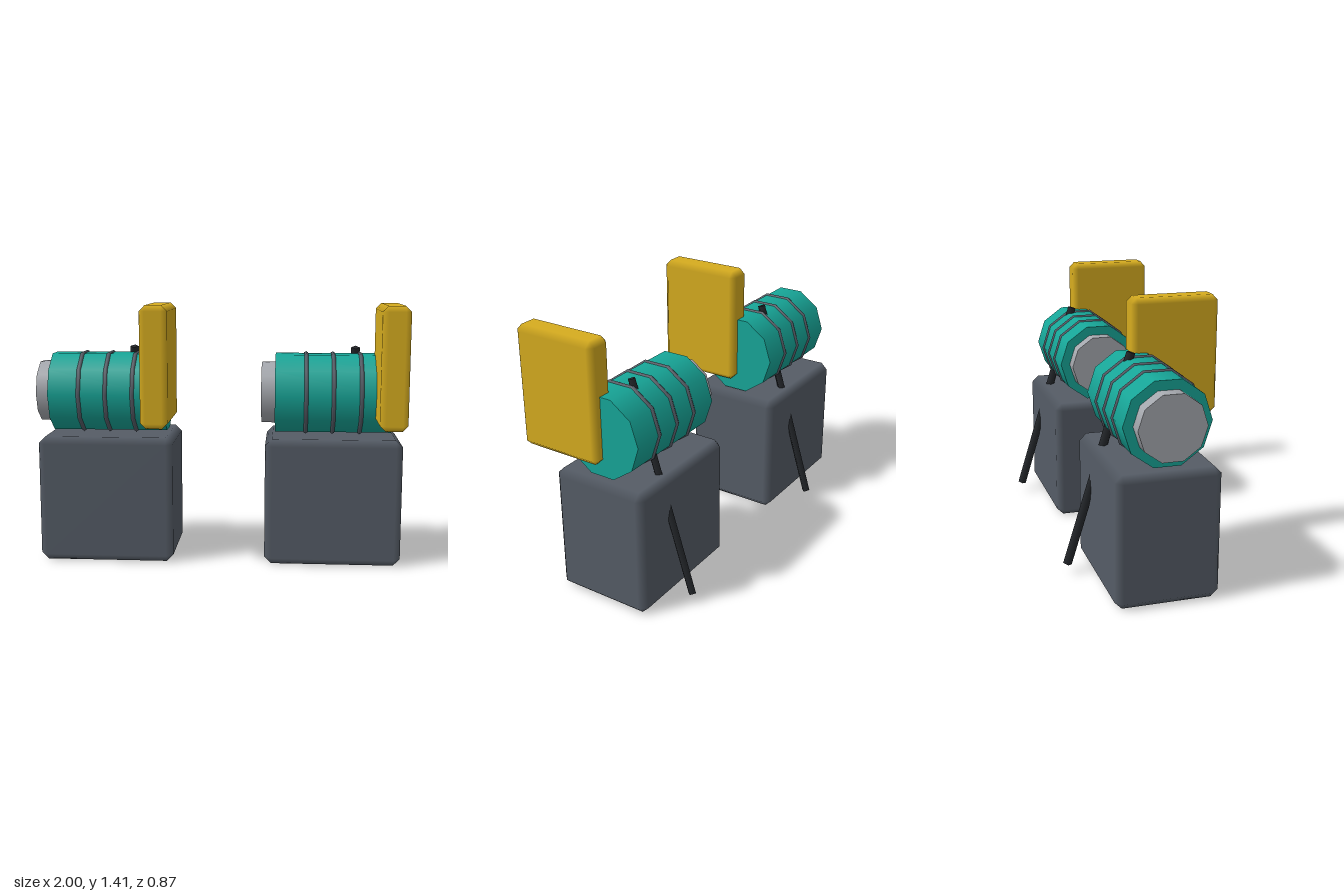
import * as THREE from 'three';

const material = (color) => new THREE.MeshStandardMaterial({ color });

// Box with single-step chamfered edges; normals blend across the chamfers
function chamferBox(w, h, d, r) {
  const half = [w / 2, h / 2, d / 2];
  const points = [], positions = [], normals = [], index = [];
  for (let corner = 0; corner < 8; corner++) {
    for (let axis = 0; axis < 3; axis++) {
      const sign = [0, 1, 2].map((k) => ((corner >> k) & 1 ? 1 : -1));
      const p = sign.map((s, k) => s * (half[k] - (k === axis ? 0 : r)));
      points.push(new THREE.Vector3(...p));
      positions.push(...p);
      normals.push(...sign.map((s, k) => (k === axis ? s : 0)));
    }
  }
  const tri = (a, b, c) => {
    const ab = points[b].clone().sub(points[a]);
    const ac = points[c].clone().sub(points[a]);
    const outward = ab.cross(ac).dot(points[a]) > 0;
    index.push(a, outward ? b : c, outward ? c : b);
  };
  const quad = (a, b, c, e) => { tri(a, b, c); tri(a, c, e); };
  const id = (corner, axis) => corner * 3 + axis;
  for (let i = 0; i < 8; i++) {
    tri(id(i, 0), id(i, 1), id(i, 2)); // corner
    for (let a = 0; a < 3; a++) {
      const u = (a + 1) % 3, v = (a + 2) % 3;
      const A = 1 << a, U = 1 << u, V = 1 << v;
      // edge strip running along axis a
      if (!(i & A)) quad(id(i, u), id(i | A, u), id(i | A, v), id(i, v));
      // flat face across axis a
      if (!(i & U) && !(i & V)) quad(id(i, a), id(i | U, a), id(i | U | V, a), id(i | V, a));
    }
  }
  const g = new THREE.BufferGeometry();
  g.setAttribute('position', new THREE.Float32BufferAttribute(positions, 3));
  g.setAttribute('normal', new THREE.Float32BufferAttribute(normals, 3));
  g.setIndex(index);
  return g;
}

const AXIS_Y = 0.917, AXIS_Z = -0.0225, SIDES = 10;

function createUnit() {
  const unit = new THREE.Group();
  const slate = material(0x555c66), teal = material(0x17a698);
  const yellow = material(0xd6ac1f), silver = material(0xa6a9af), black = material(0x24272b);

  const add = (name, geometry, mat, x, y, z) => {
    const mesh = new THREE.Mesh(geometry, mat);
    mesh.name = name;
    mesh.position.set(x, y, z);
    unit.add(mesh);
    return mesh;
  };
  // Ten-sided cylinder lying along x
  const drum = (name, mat, radius, x0, x1) =>
    add(name, new THREE.CylinderGeometry(radius, radius, x1 - x0, SIDES).rotateZ(Math.PI / 2),
      mat, (x0 + x1) / 2, AXIS_Y, AXIS_Z);

  // Base block and side panel
  add('baseBlock', chamferBox(0.735, 0.69, 0.535, 0.037), slate, 0.01, 0.345, -0.02);
  add('sidePanel', chamferBox(0.145, 0.64, 0.47, 0.03), yellow, 0.305, 1.09, 0.205);

  // Drum with end cap and bands
  drum('drum', teal, 0.223, -0.3075, 0.3275);
  drum('endCap', silver, 0.172, -0.3825, -0.28);
  for (const x of [-0.1395, 0.0075, 0.1555]) {
    add('band', new THREE.TorusGeometry(0.22, 0.0125, 6, SIDES).rotateY(Math.PI / 2),
      slate, x, AXIS_Y, AXIS_Z);
  }

  // Slanted rod running through drum and base to the rear
  const bottom = new THREE.Vector3(0.1325, 0.053, -0.412);
  const top = new THREE.Vector3(0.1325, 1.163, -0.07);
  const dir = top.clone().sub(bottom);
  const mid = top.clone().add(bottom).multiplyScalar(0.5);
  const rod = add('rod', new THREE.CylinderGeometry(0.024, 0.024, dir.length(), 4),
    black, mid.x, mid.y, mid.z);
  rod.rotation.x = Math.atan2(dir.z, dir.y);
  return unit;
}

export function createModel() {
  const model = new THREE.Group();
  model.name = 'pairedDrumUnits';
  // Two identical units side by side
  [['rightUnit', -0.6175], ['leftUnit', 0.6175]].forEach(([name, x]) => {
    const unit = createUnit();
    unit.name = name;
    unit.position.x = x;
    model.add(unit);
  });
  return model;
}
